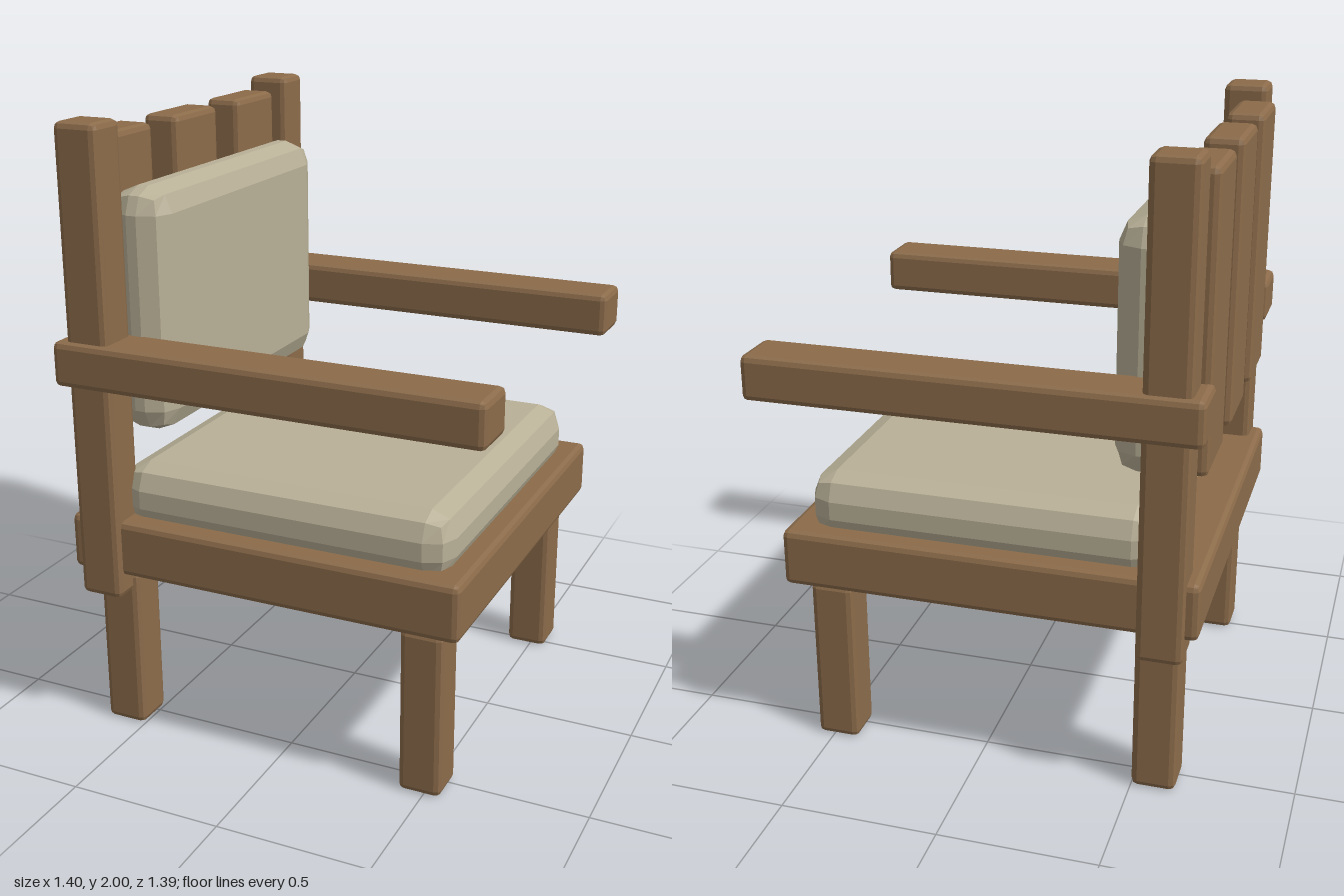
import * as THREE from 'three';
import { RoundedBoxGeometry } from 'three/addons/geometries/RoundedBoxGeometry.js';

export function createModel() {
  const chair = new THREE.Group();
  chair.name = 'armchair';

  const wood = new THREE.MeshStandardMaterial({ color: 0x8b6b4a, flatShading: true });
  wood.name = 'wood';
  const fabric = new THREE.MeshStandardMaterial({ color: 0xb9b097, flatShading: true });
  fabric.name = 'cushion fabric';

  // Bevelled block given by its extents along each axis
  function block(name, material, bevel, [x0, x1], [y0, y1], [z0, z1]) {
    const geometry = new RoundedBoxGeometry(x1 - x0, y1 - y0, z1 - z0, 1, bevel);
    const mesh = new THREE.Mesh(geometry, material);
    mesh.name = name;
    mesh.position.set((x0 + x1) / 2, (y0 + y1) / 2, (z0 + z1) / 2);
    chair.add(mesh);
  }
  const plank = (name, x, y, z) => block(name, wood, 0.02, x, y, z);

  // Seat: the chair looks along +x
  plank('seatFrame', [-0.7, 0.62], [0.565, 0.75], [-0.65, 0.65]);
  block('seatCushion', fabric, 0.08, [-0.56, 0.56], [0.7, 0.92], [-0.59, 0.59]);

  // Legs, back posts and armrests on both sides
  for (const side of [-1, 1]) {
    const span = (a, b) => (side > 0 ? [a, b] : [-b, -a]);
    plank('backLeg', [-0.64, -0.5], [0, 0.555], span(0.46, 0.6));
    plank('frontLeg', [0.415, 0.555], [0, 0.555], span(0.46, 0.6));
    plank('backPost', [-0.66, -0.515], [0.49, 2], span(0.535, 0.675));
    plank('armrest', [-0.7, 0.7], [1.19, 1.335], span(0.515, 0.695));
  }

  // Back slats
  for (const z of [-0.41, 0, 0.41]) {
    plank('backSlat', [-0.69, -0.565], [1.045, 1.95], [z - 0.135, z + 0.135]);
  }

  // Back cushion
  block('backCushion', fabric, 0.08, [-0.59, -0.395], [1.01, 1.79], [-0.54, 0.54]);

  return chair;
}
